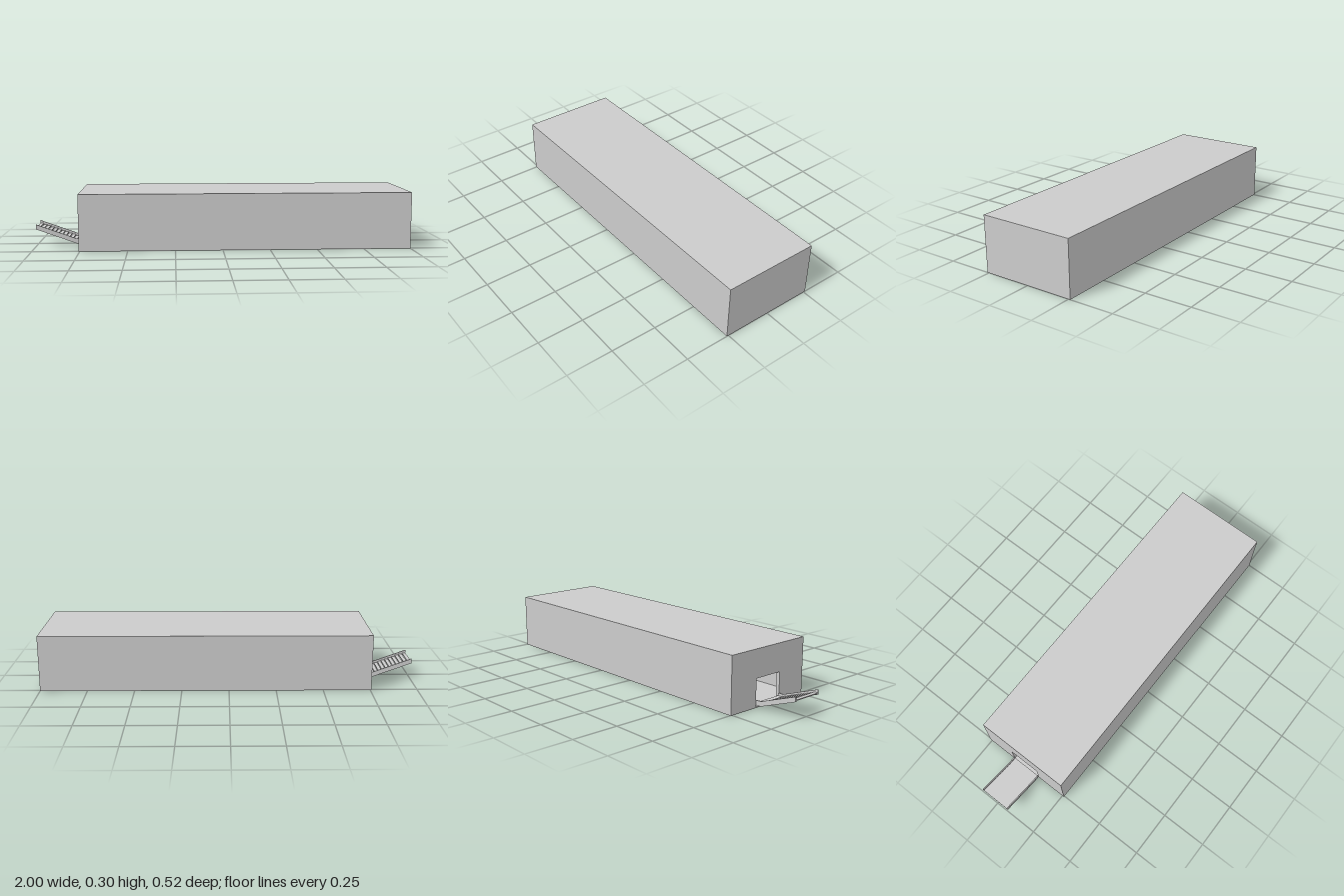
import * as THREE from 'three';

const X0 = -0.755, X1 = 1, H = 0.3, HALF_Z = 0.26; // hall extents
const WALL = 0.02, FLOOR = 0.004;
const DOOR_HALF = 0.085, DOOR_TOP = 0.15;

export function createModel() {
  const model = new THREE.Group();
  const material = new THREE.MeshStandardMaterial({ color: 0xcccccc, flatShading: true });

  const add = (name, geometry) => {
    const mesh = new THREE.Mesh(geometry, material);
    mesh.name = name;
    model.add(mesh);
    return mesh;
  };
  // Box given by its minimum and maximum corners
  const box = (name, x0, x1, y0, y1, z0, z1) =>
    add(name, new THREE.BoxGeometry(x1 - x0, y1 - y0, z1 - z0))
      .position.set((x0 + x1) / 2, (y0 + y1) / 2, (z0 + z1) / 2);

  // Hollow hall
  box('floor', X0, X1, 0, FLOOR, -HALF_Z, HALF_Z);
  box('roof', X0, X1, H - WALL, H, -HALF_Z, HALF_Z);
  box('frontWall', X0, X1, FLOOR, H - WALL, HALF_Z - WALL, HALF_Z);
  box('backWall', X0, X1, FLOOR, H - WALL, -HALF_Z, -HALF_Z + WALL);
  const inZ = HALF_Z - WALL;
  box('endWall', X1 - WALL, X1, FLOOR, H - WALL, -inZ, inZ);

  // End wall with the doorway cut out of it
  const doorWall = new THREE.Shape([
    [-inZ, FLOOR], [-DOOR_HALF, FLOOR], [-DOOR_HALF, DOOR_TOP], [DOOR_HALF, DOOR_TOP],
    [DOOR_HALF, FLOOR], [inZ, FLOOR], [inZ, H - WALL], [-inZ, H - WALL],
  ].map(([z, y]) => new THREE.Vector2(z, y)));
  const wall = add('doorwayWall', new THREE.ExtrudeGeometry(doorWall, { depth: WALL, bevelEnabled: false }));
  wall.rotation.y = Math.PI / 2;
  wall.position.x = X0;

  // Ramp side rails: sloped run ending in a short level landing
  const bend = -0.785, railThickness = 0.006;
  const rail = new THREE.Shape([
    [-1, 0.092], [bend, 0.014], [X0, 0.014], [X0, 0.04], [bend, 0.04], [-1, 0.118],
  ].map(([x, y]) => new THREE.Vector2(x, y)));
  for (const [name, z] of [['frontRail', DOOR_HALF - railThickness], ['backRail', -DOOR_HALF]]) {
    add(name, new THREE.ExtrudeGeometry(rail, { depth: railThickness, bevelEnabled: false })).position.z = z;
  }

  // Level treads climbing between the rails
  const treads = 11, run = (bend + 1) / treads, rise = 0.078 / treads;
  const treadZ = DOOR_HALF - railThickness;
  box('landing', bend, X0, 0.022, 0.027, -treadZ, treadZ);
  for (let i = 0; i < treads; i++) {
    const x = bend - run * (i + 1), y = 0.022 + rise * (i + 0.5);
    box(`tread${i + 1}`, x, x + run, y, y + 0.005, -treadZ, treadZ);
  }

  return model;
}
